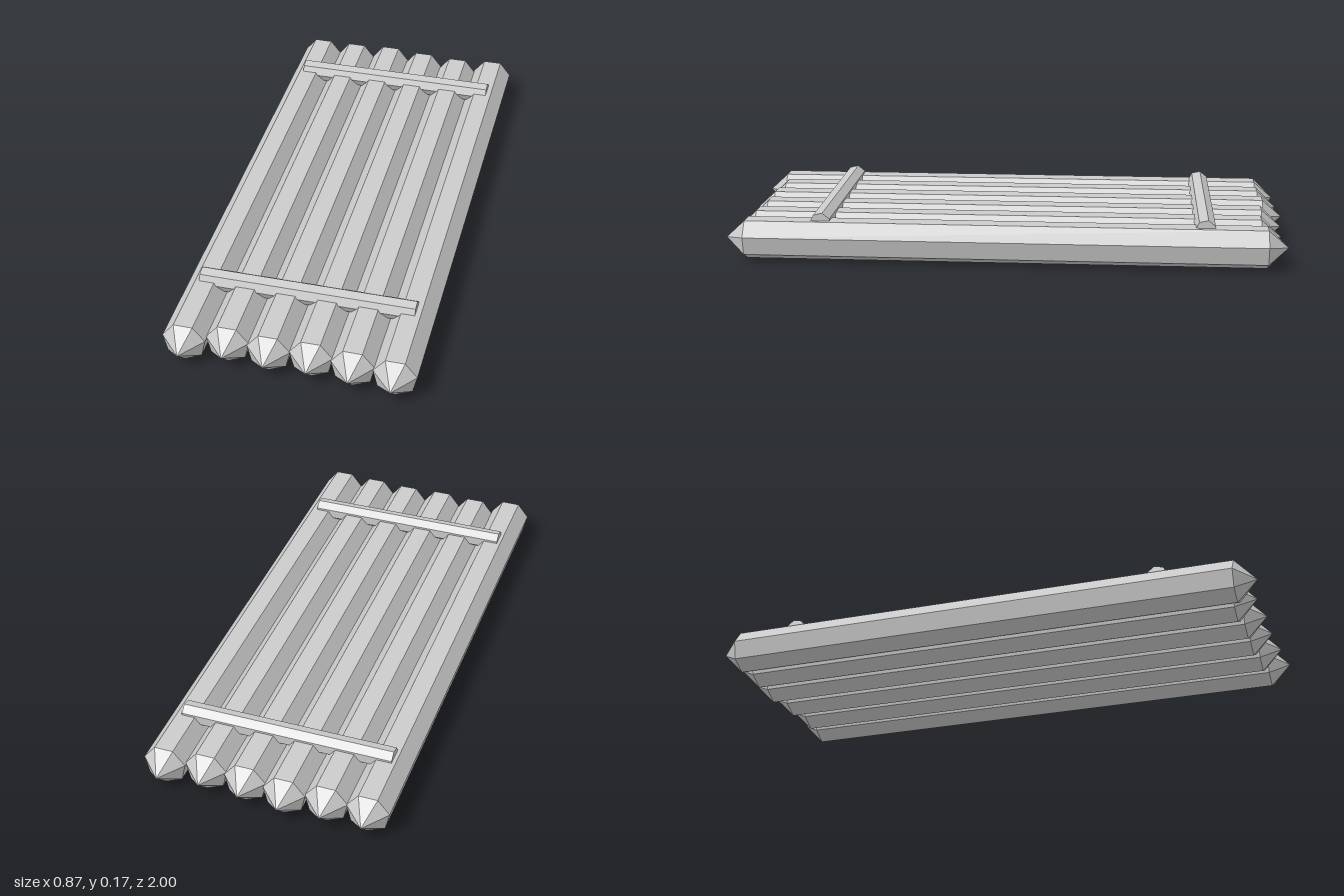
import * as THREE from 'three';

const material = new THREE.MeshStandardMaterial({ color: 0xcccccc, flatShading: true });

const SIDES = 7;
const LOG_RADIUS = 0.0763;
const LOG_SPACING = 0.1444;
const POINT_LENGTH = 0.073;

// Seven-sided log along z, sharpened at both ends, with one edge facing down
function makeLog(back, front) {
  const profile = [
    [0, back],
    [LOG_RADIUS, back + POINT_LENGTH],
    [LOG_RADIUS, front - POINT_LENGTH],
    [0, front],
  ].map(([r, y]) => new THREE.Vector2(r, y));
  const geometry = new THREE.LatheGeometry(profile, SIDES);
  geometry.rotateX(Math.PI / 2);
  return new THREE.Mesh(geometry, material);
}

// Thin seven-sided pole along x, half sunk into the logs
function makeCrossbar(z) {
  const geometry = new THREE.CylinderGeometry(0.038, 0.038, 0.757, SIDES);
  geometry.rotateZ(Math.PI / 2);
  const bar = new THREE.Mesh(geometry, material);
  bar.position.set(-0.003, 0.136, z);
  return bar;
}

export function createModel() {
  const raft = new THREE.Group();
  raft.name = 'raft';

  // Back and front tips of each log, from -x to +x
  const tips = [
    [-0.99, 1.0], [-0.99, 0.975], [-1.0, 0.985],
    [-0.985, 0.98], [-0.975, 0.99], [-0.99, 1.0],
  ];
  tips.forEach(([back, front], i) => {
    const log = makeLog(back, front);
    log.name = `log${i + 1}`;
    log.position.set((i - 2.5) * LOG_SPACING, LOG_RADIUS, 0);
    raft.add(log);
  });

  // Crossbars lashing the deck together
  const frontBar = makeCrossbar(0.659);
  frontBar.name = 'frontCrossbar';
  const backBar = makeCrossbar(-0.7);
  backBar.name = 'backCrossbar';
  raft.add(frontBar, backBar);

  return raft;
}
